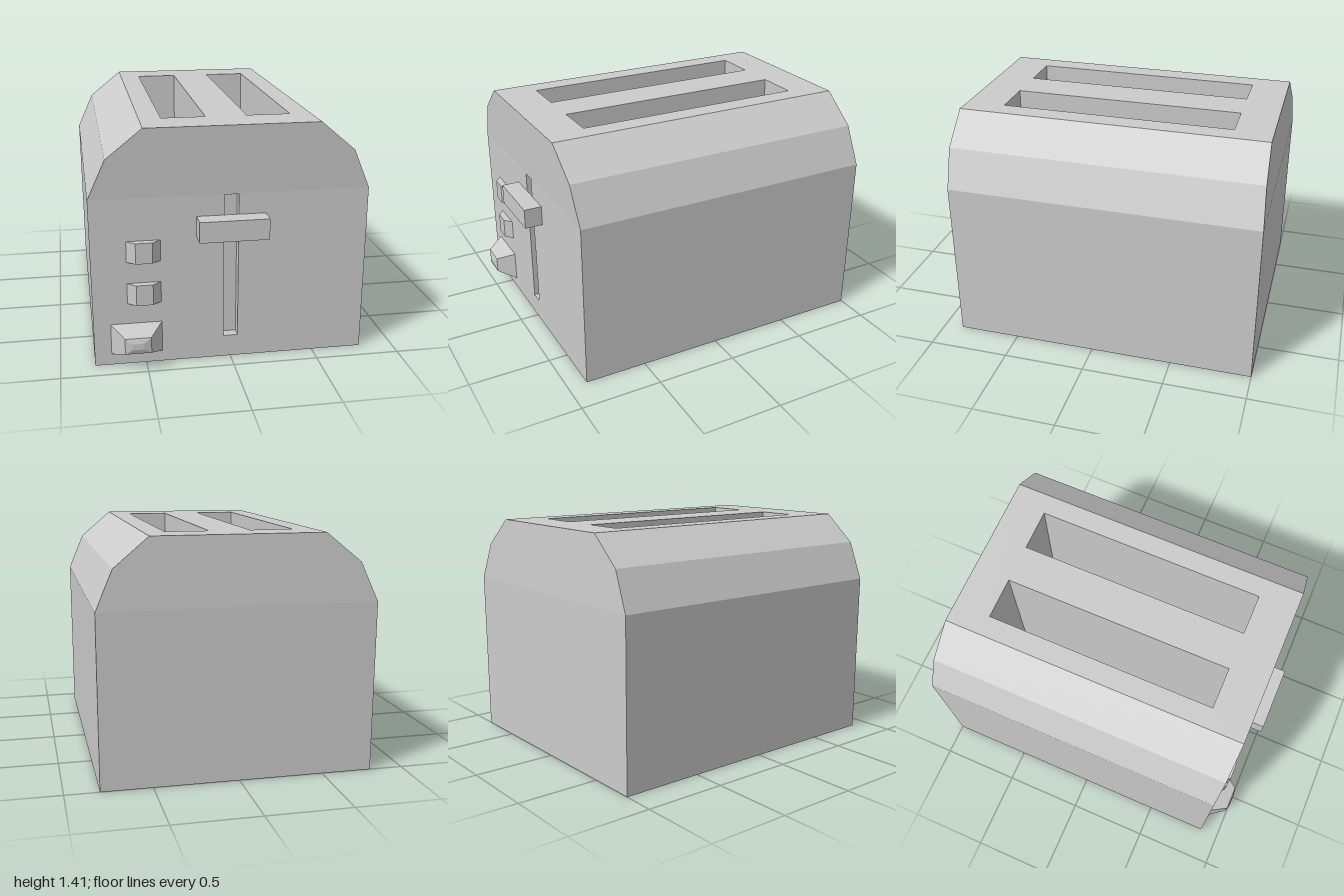
import * as THREE from 'three';
import { mergeGeometries } from 'three/addons/utils/BufferGeometryUtils.js';

const material = new THREE.MeshStandardMaterial({ color: 0xcccccc, flatShading: true });

// Body outline seen from the front, counter-clockwise from bottom left
const SHOULDER = 1.01, TOP = 1.41, DEPTH = 0.9;
const outline = [
  [-0.8, 0], [0.8, 0], [0.804, SHOULDER], [0.705, 1.24],
  [0.503, TOP], [-0.497, TOP], [-0.705, 1.24], [-0.808, SHOULDER],
];
// Front and back lean forwards above the shoulder
const lean = (y) => Math.max(0, (y - SHOULDER) / (TOP - SHOULDER)) * 0.022;
const frontZ = (y) => 0.882 + lean(y);
const backZ = (y) => -1 + lean(y);

const slots = [-0.243, 0.252].map((x) => ({ x, z: -0.042, w: 0.256, l: 1.415 }));
const groove = { x: 0, y: 0.57, w: 0.084, h: 0.884, d: 0.06 };

function shapeOf(points) {
  return new THREE.Shape(points.map(([x, y]) => new THREE.Vector2(x, y)));
}

function rectPath(x, y, w, h) {
  return new THREE.Path([[-1, -1], [-1, 1], [1, 1], [1, -1]].map(
    ([i, j]) => new THREE.Vector2(x + i * w / 2, y + j * h / 2)));
}

function flip(geometry) {
  geometry.setIndex(Array.from(geometry.index.array).reverse());
  return geometry;
}

// Plain positions with fresh flat normals, ready to merge
function facet(geometry) {
  const g = geometry.toNonIndexed();
  g.deleteAttribute('uv');
  g.clearGroups();
  g.computeVertexNormals();
  return g;
}

// Flat shape whose z follows a rule of its height
function wall(shape, zOf) {
  const g = new THREE.ShapeGeometry(shape);
  const p = g.attributes.position;
  for (let i = 0; i < p.count; i++) p.setZ(i, zOf(p.getY(i)));
  return g;
}

// Skin between closed loops of equal length, optionally capped at the last loop
function loft(loops, cap) {
  const n = loops[0].length, index = [];
  for (let r = 0; r < loops.length - 1; r++) {
    for (let i = 0; i < n; i++) {
      const a = r * n + i, b = r * n + (i + 1) % n;
      index.push(a, b, b + n, a, b + n, a + n);
    }
  }
  if (cap) {
    const s = (loops.length - 1) * n;
    for (let i = 1; i < n - 1; i++) index.push(s, s + i, s + i + 1);
  }
  const g = new THREE.BufferGeometry();
  g.setAttribute('position', new THREE.Float32BufferAttribute(loops.flat(2), 3));
  g.setIndex(index);
  return g;
}

// Inward-facing box with one side left open (+x,-x,+y,-y,+z,-z = 0..5)
function pocket(w, h, d, openSide) {
  const g = new THREE.BoxGeometry(w, h, d);
  const kept = Array.from(g.index.array).filter((_, i) => Math.floor(i / 6) !== openSide);
  g.setIndex(kept);
  return flip(g);
}

function createBody() {
  const lower = () => shapeOf([outline[0], outline[1], outline[2], outline[7]]);
  const upper = shapeOf(outline.slice(2));
  const panel = lower();
  // keep the groove just below the shoulder line
  panel.holes.push(rectPath(groove.x, groove.y, groove.w, groove.h - 0.01));

  const top = shapeOf([
    [-0.497, -frontZ(TOP)], [0.503, -frontZ(TOP)], [0.503, -backZ(TOP)], [-0.497, -backZ(TOP)],
  ]);
  slots.forEach((s) => top.holes.push(rectPath(s.x, -s.z, s.w, s.l)));

  // Sides, shoulders and base run between the front and back outlines
  const strips = outline.flatMap((a, i) => {
    if (i === 4) return [];
    const b = outline[(i + 1) % outline.length];
    const ends = [[a, frontZ], [a, backZ], [b, backZ], [b, frontZ]];
    return [loft([ends.map(([p, z]) => [p[0], p[1], z(p[1])])], true)];
  });

  return mergeGeometries([
    wall(panel, frontZ), wall(upper, frontZ),
    flip(wall(lower(), backZ)), flip(wall(upper, backZ)),
    new THREE.ShapeGeometry(top).rotateX(-Math.PI / 2).translate(0, TOP, 0),
    ...strips,
  ].map(facet));
}

// Rectangle loop facing +z
const ring = (x0, x1, y0, y1, z) => [[x0, y0, z], [x1, y0, z], [x1, y1, z], [x0, y1, z]];

export function createModel() {
  const model = new THREE.Group();
  model.name = 'toaster';
  const add = (name, geometry, x = 0, y = 0, z = 0) => {
    const mesh = new THREE.Mesh(geometry, material);
    mesh.name = name;
    mesh.position.set(x, y, z);
    model.add(mesh);
  };

  add('body', createBody());

  // Bread slots
  slots.forEach((s, i) => add(`breadSlot${i + 1}`,
    facet(pocket(s.w, DEPTH, s.l, 2)), s.x, TOP - DEPTH / 2, s.z));

  // Lever and the groove it slides in
  add('leverGroove', facet(pocket(groove.w, groove.h - 0.01, groove.d, 4)),
    groove.x, groove.y, 0.882 - groove.d / 2);
  add('lever', new THREE.BoxGeometry(0.4, 0.123, 0.11), 0, 0.825, 0.935);

  // Buttons with slanted ends
  [0.443, 0.697].forEach((y, i) => add(`button${i + 1}`, facet(loft([
    ring(-0.605, -0.405, y - 0.062, y + 0.062, 0.88),
    ring(-0.553, -0.457, y - 0.062, y + 0.062, 0.924),
  ], true))));

  // Tapered knob with a slightly domed tip
  add('knob', facet(loft([
    ring(-0.704, -0.404, 0.066, 0.256, 0.88),
    ring(-0.63, -0.479, 0.114, 0.21, 0.99),
    ring(-0.59, -0.52, 0.143, 0.18, 1),
  ], true)));

  return model;
}
